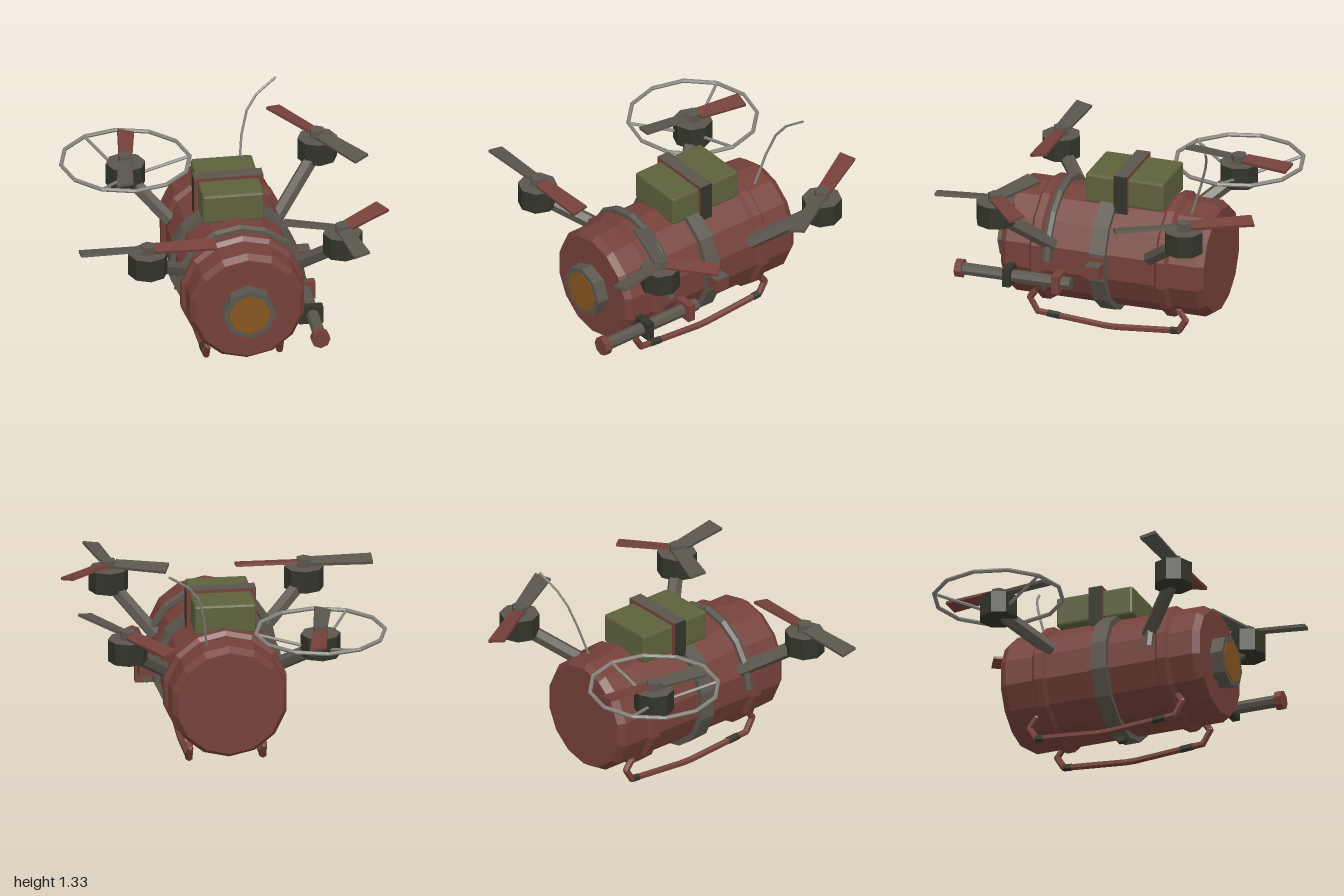
import * as THREE from 'three';
import { RoundedBoxGeometry } from 'three/addons/geometries/RoundedBoxGeometry.js';

const mat = (name, color) => {
  const m = new THREE.MeshStandardMaterial({ color, flatShading: true });
  m.name = name;
  return m;
};
const V = (x, y, z) => new THREE.Vector3(x, y, z);

export function createModel() {
  const root = new THREE.Group();
  root.name = 'barrelDrone';
  const rust = mat('rustRed', 0x75403a), grey = mat('warmGrey', 0x5b564c);
  const olive = mat('olive', 0x5e613c), dark = mat('darkOlive', 0x323428);
  const amber = mat('amber', 0x87551f), steel = mat('steel', 0x86847c);
  const CX = 0.055, CY = 0.468;

  const add = (name, geo, material, pos = V(0, 0, 0), parent = root) => {
    const m = new THREE.Mesh(geo, material);
    m.name = name;
    m.position.copy(pos);
    parent.add(m);
    return m;
  };
  // box given by its min and max corners
  const box = (name, a, b, material) => add(name,
    new THREE.BoxGeometry(b[0] - a[0], b[1] - a[1], b[2] - a[2]), material,
    V((a[0] + b[0]) / 2, (a[1] + b[1]) / 2, (a[2] + b[2]) / 2));
  // straight rod between two points
  const rod = (name, a, b, r, sides, material, parent = root) => {
    const d = b.clone().sub(a);
    const m = add(name, new THREE.CylinderGeometry(r, r, d.length(), sides), material,
      a.clone().add(b).multiplyScalar(0.5), parent);
    m.quaternion.setFromUnitVectors(V(0, 1, 0), d.normalize());
    return m;
  };
  // cylinder lying along z between z0 and z1
  const drum = (name, x, y, z0, z1, r, sides, material) => add(name,
    new THREE.CylinderGeometry(r, r, z1 - z0, sides).rotateX(Math.PI / 2), material, V(x, y, (z0 + z1) / 2));
  // chain of straight tube pieces through points
  const pipe = (name, pts, r, sides, material) => {
    const path = new THREE.CurvePath();
    for (let i = 1; i < pts.length; i++) path.add(new THREE.LineCurve3(pts[i - 1], pts[i]));
    const g = new THREE.Group();
    g.name = name;
    root.add(g);
    path.curves.forEach((c) => {
      rod(name + 'Piece', c.v1, c.v2, r, sides, material, g);
      add(name + 'Joint', new THREE.SphereGeometry(r, sides, 4), material, c.v2, g);
    });
  };

  // barrel with chamfered ends and two raised ribs
  const profile = [
    [0, -0.625], [0.33, -0.625], [0.361, -0.58],
    [0.361, -0.405], [0.388, -0.385], [0.388, -0.335], [0.361, -0.315],
    [0.361, 0.405], [0.388, 0.425], [0.388, 0.475], [0.361, 0.495],
    [0.361, 0.65], [0.33, 0.69], [0, 0.69],
  ].map(([r, z]) => new THREE.Vector2(r, z));
  add('barrel', new THREE.LatheGeometry(profile, 14).rotateX(Math.PI / 2), rust, V(CX, CY, 0));

  // front lens
  drum('lensHousing', CX, CY - 0.005, 0.68, 0.77, 0.165, 8, grey);
  drum('lens', CX, CY - 0.005, 0.768, 0.774, 0.13, 8, amber);

  // middle belt with side buckle, and the half hoop that carries the front arms
  drum('belt', CX, CY, -0.005, 0.095, 0.397, 14, grey);
  box('buckleBase', [0.4, 0.4, 0.0], [0.452, 0.54, 0.09], rust);
  box('buckle', [0.44, 0.43, 0.0], [0.535, 0.51, 0.095], [rust, rust, grey, rust, rust, rust]);
  box('beltClip', [0.035, 0.045, 0.02], [0.075, 0.09, 0.07], dark);
  add('frontHoop', new THREE.TorusGeometry(0.382, 0.028, 6, 8, Math.PI), grey, V(CX, CY, 0.375));

  // battery pack and its strap
  add('battery', new RoundedBoxGeometry(0.38, 0.19, 0.505, 1, 0.015), olive, V(0.043, 0.897, -0.0575));
  const strapMats = [dark, dark, grey, grey, rust, rust];
  box('strapTop', [-0.172, 0.988, -0.085], [0.257, 1.013, 0.003], strapMats);
  box('strapLeft', [0.231, 0.765, -0.085], [0.257, 0.99, 0.003], strapMats);
  box('strapRight', [-0.172, 0.765, -0.085], [-0.146, 0.99, 0.003], strapMats);

  // landing skids
  for (const x of [-0.172, 0.282]) {
    const pts = [[0.19, 0.5], [0.14, 0.535], [0.055, 0.485], [0.021, 0.05], [0.021, -0.02], [0.055, -0.43], [0.13, -0.475], [0.19, -0.43]];
    pipe('skid', pts.map(([y, z]) => V(x, y, z)), 0.021, 6, rust);
    rod('skidSleeve', V(x, 0.051, -0.38), V(x, 0.055, -0.43), 0.024, 6, dark);
    rod('skidSleeve', V(x, 0.044, 0.34), V(x, 0.05, 0.42), 0.024, 6, dark);
  }

  // side probe with clamps
  drum('probeTube', 0.466, 0.352, 0.205, 0.91, 0.04, 8, grey);
  drum('probeTip', 0.466, 0.352, 0.9, 0.945, 0.06, 8, rust);
  box('rearClamp', [0.38, 0.295, 0.262], [0.53, 0.41, 0.312], rust);
  box('frontClamp', [0.38, 0.295, 0.58], [0.53, 0.41, 0.63], dark);

  // whip antenna
  const whip = [[0.18, 0.79, -0.475], [0.205, 1.0, -0.545], [0.245, 1.145, -0.59], [0.31, 1.235, -0.62], [0.43, 1.32, -0.655]];
  pipe('antenna', whip.map((p) => V(...p)), 0.008, 6, steel);

  // propeller blade reaching along +x, a little wider at the tip
  const bladeGeo = (len) => {
    const g = new THREE.BoxGeometry(len - 0.04, 0.018, 0.104);
    const p = g.attributes.position;
    for (let i = 0; i < p.count; i++) if (p.getX(i) < 0) p.setZ(i, p.getZ(i) * 0.82);
    g.rotateX(0.2);
    return g.translate((len + 0.04) / 2, 0, 0);
  };

  // four arms, each with motor, hub and propeller
  const rotors = [
    { name: 'frontRight', x: -0.555, z: 0.632, top: 0.872, from: V(-0.27, 0.58, 0.35), len: 0.42, angle: 0, blades: 2 },
    { name: 'frontLeft', x: 0.65, z: 0.628, top: 0.915, from: V(0.385, 0.56, 0.35), len: 0.37, angle: 40, blades: 3 },
    { name: 'backLeft', x: 0.683, z: -0.605, top: 0.915, from: V(0.385, 0.56, -0.28), len: 0.43, angle: 120.5, blades: 2 },
    { name: 'backRight', x: -0.513, z: -0.54, top: 0.872, from: V(-0.27, 0.58, -0.28), len: 0.345, angle: 81, blades: 2 },
  ];
  for (const r of rotors) {
    const g = new THREE.Group();
    g.name = r.name + 'Rotor';
    root.add(g);
    rod('arm', r.from, V(r.x, r.top - 0.085, r.z), 0.046, 6, grey, g);
    add('motor', new THREE.CylinderGeometry(0.122, 0.122, 0.14, 8), [dark, grey, dark], V(r.x, r.top - 0.07, r.z), g);
    add('hub', new THREE.CylinderGeometry(0.048, 0.048, 0.055, 6), grey, V(r.x, r.top + 0.025, r.z), g);
    for (let i = 0; i < r.blades; i++) {
      const b = add('blade', bladeGeo(r.len), i ? grey : rust, V(r.x, r.top + 0.027, r.z), g);
      b.rotation.y = THREE.MathUtils.degToRad(r.angle) + (i * 2 * Math.PI) / r.blades;
    }
  }

  // blade guard on the back right rotor
  const { x, z } = rotors[3];
  add('guardRing', new THREE.TorusGeometry(0.398, 0.013, 6, 12).rotateX(Math.PI / 2), steel, V(x, 0.883, z));
  for (let i = 0; i < 3; i++) {
    const a = (i * 2 * Math.PI) / 3, c = Math.cos(a), s = Math.sin(a);
    rod('guardSpoke', V(x + 0.09 * c, 0.79, z + 0.09 * s), V(x + 0.395 * c, 0.88, z + 0.395 * s), 0.01, 6, steel);
  }
  return root;
}
